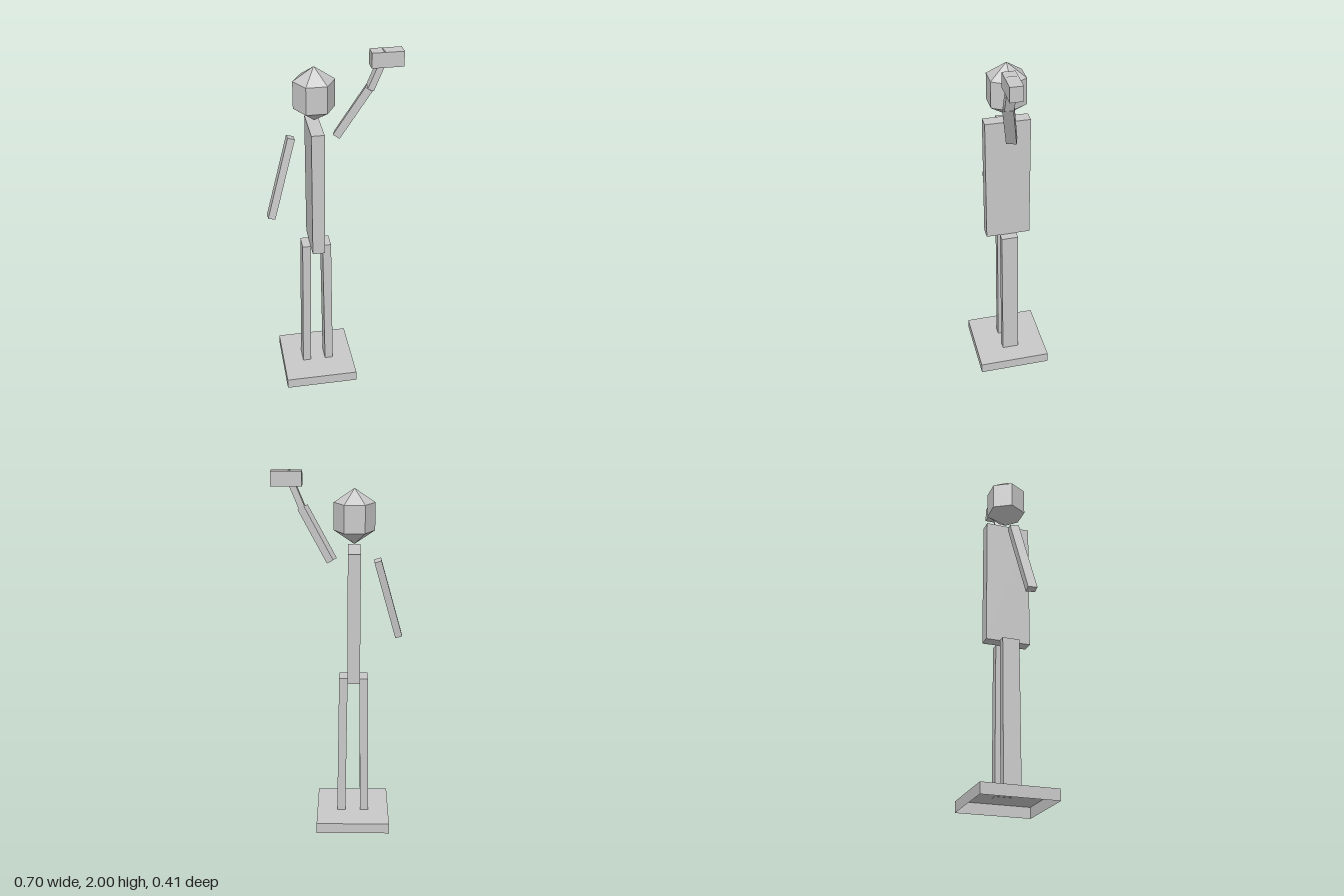
import * as THREE from 'three';

const CX = -0.0865; // body axis
const grey = new THREE.MeshStandardMaterial({ color: 0xc8c8c8, flatShading: true, side: THREE.DoubleSide });
grey.name = 'plain grey';

function part(name, geometry, x = 0, y = 0, z = 0) {
  const mesh = new THREE.Mesh(geometry, grey);
  mesh.name = name;
  mesh.position.set(x, y, z);
  return mesh;
}

// Box running from point a up to point b; depthHint steers the depth side of its section
function limb(name, a, b, width, depth, depthHint) {
  const from = new THREE.Vector3(...a), to = new THREE.Vector3(...b);
  const axis = to.clone().sub(from);
  const mesh = part(name, new THREE.BoxGeometry(width, axis.length(), depth));
  axis.normalize();
  const side = axis.clone().cross(new THREE.Vector3(...depthHint)).normalize();
  const front = side.clone().cross(axis);
  mesh.quaternion.setFromRotationMatrix(new THREE.Matrix4().makeBasis(side, axis, front));
  mesh.position.copy(from).add(to).multiplyScalar(0.5);
  return mesh;
}

export function createModel() {
  const model = new THREE.Group();
  model.name = 'standingFigure';

  // Plinth, hollow and open underneath
  const plinth = new THREE.BoxGeometry(0.409, 0.06, 0.409);
  const index = Array.from(plinth.index.array);
  index.splice(18, 6);
  plinth.setIndex(index);
  plinth.clearGroups();
  model.add(part('plinth', plinth, CX, 0.03, -0.001));

  // Legs: upright boxes leaning slightly outward toward the feet
  for (const s of [-1, 1]) {
    const leg = new THREE.BoxGeometry(0.047, 0.82, 0.094);
    const p = leg.attributes.position;
    for (let i = 0; i < p.count; i++) p.setX(i, p.getX(i) - s * p.getY(i) * 0.0125);
    model.add(part(s < 0 ? 'rightLeg' : 'leftLeg', leg, CX + s * 0.061, 0.469, -0.001));
  }

  // Torso slab
  model.add(part('torso', new THREE.BoxGeometry(0.068, 0.714, 0.246), CX, 1.236, -0.001));

  // Faceted six-sided head
  const head = part('head', new THREE.SphereGeometry(1, 6, 3), CX, 1.768, -0.001);
  head.scale.set(0.125, 0.146, 0.125);
  model.add(head);

  // Lowered right arm
  model.add(limb('rightArm', [-0.333, 1.098, 0.054], [-0.211, 1.535, -0.001], 0.039, 0.053, [0, 0, 1]));

  // Raised left arm
  model.add(limb('leftUpperArm', [0.032, 1.531, 0], [0.186, 1.806, 0.054], 0.041, 0.055, [-0.33, 0, 0.94]));
  model.add(limb('leftForearm', [0.187, 1.8, 0.0535], [0.266, 1.994, 0.0535], 0.034, 0.049, [0, 0, 1]));

  // Block held in the raised hand
  model.add(part('heldBlock', new THREE.BoxGeometry(0.163, 0.079, 0.067), 0.2685, 1.957, 0.0535));

  return model;
}
